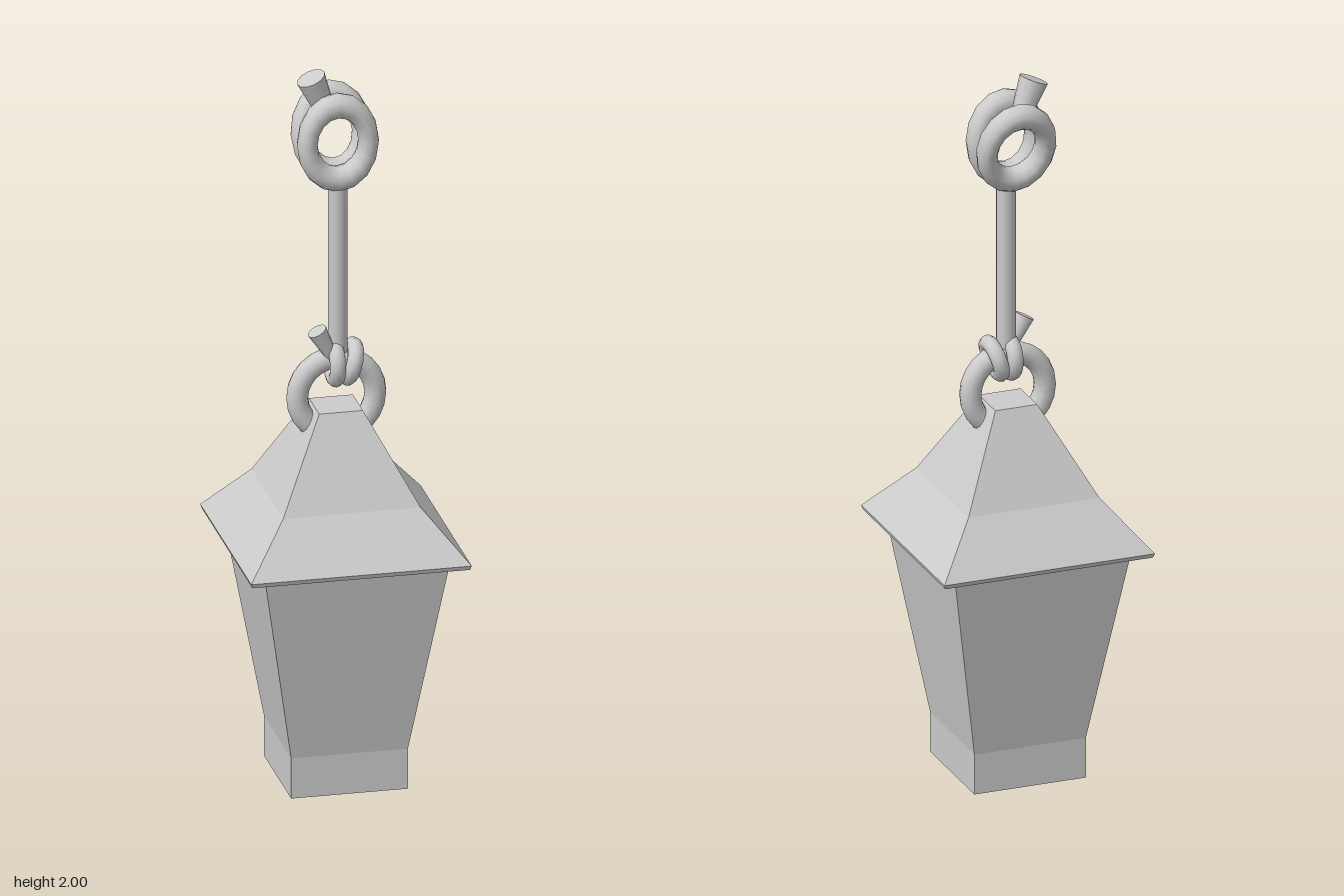
import * as THREE from 'three';

const smooth = new THREE.MeshStandardMaterial({ color: 0xcccccc });
const flat = new THREE.MeshStandardMaterial({ color: 0xcccccc, flatShading: true });

export function createModel() {
  const group = new THREE.Group();
  group.name = 'hangingLantern';

  const add = (name, geometry, material, x = 0, y = 0, z = 0) => {
    const mesh = new THREE.Mesh(geometry, material);
    mesh.name = name;
    mesh.position.set(x, y, z);
    group.add(mesh);
    return mesh;
  };

  // Square solid from [half width, height] pairs, bottom to top
  const squareLoft = (profile) => new THREE.LatheGeometry(
    profile.map(([half, y]) => new THREE.Vector2(half * Math.SQRT2, y)), 4, Math.PI / 4);

  // Tapered stub between two points, wider at its tip
  const stub = (name, base, tip, baseRadius, tipRadius) => {
    const a = new THREE.Vector3(...base), b = new THREE.Vector3(...tip);
    const dir = b.clone().sub(a);
    const mesh = add(name, new THREE.CylinderGeometry(tipRadius, baseRadius, dir.length(), 12), smooth);
    mesh.position.copy(a).add(b).multiplyScalar(0.5);
    mesh.quaternion.setFromUnitVectors(new THREE.Vector3(0, 1, 0), dir.normalize());
  };

  // Lantern body and flared roof
  add('lanternBody', squareLoft([[0, 0], [0.16, 0], [0.16, 0.115], [0.253, 0.67], [0, 0.67]]), flat);
  add('roof', squareLoft([[0, 0.668], [0.298, 0.668], [0.302, 0.68], [0.188, 0.815], [0.06, 1.055], [0, 1.055]]), flat);

  // Carrying ring set into the roof peak
  add('roofRing', new THREE.TorusGeometry(0.107, 0.03, 12, 24), smooth, 0, 1.085, 0.003);

  // Hanging rod
  add('rod', new THREE.CylinderGeometry(0.027, 0.027, 0.5, 12), smooth, 0.004, 1.45, 0.004);

  // Upper pair of oval loops, the rear one leaning back
  const upper = new THREE.TorusGeometry(0.105, 0.035, 12, 16);
  upper.scale(0.8, 1, 1);
  add('upperLoopFront', upper, smooth, 0.003, 1.81, 0.009);
  add('upperLoopBack', upper, smooth, 0.004, 1.81, -0.07).rotation.x = -0.28;
  stub('upperStub', [-0.012, 1.865, -0.04], [-0.062, 1.984, -0.03], 0.024, 0.04);

  // Lower pair of loops wrapped around the carrying ring
  const lower = new THREE.TorusGeometry(0.045, 0.022, 12, 16);
  lower.rotateY(Math.PI / 2);
  add('lowerLoopLeft', lower, smooth, -0.006, 1.178, 0.006);
  add('lowerLoopRight', lower, smooth, 0.037, 1.178, 0.006).rotation.z = -0.28;
  stub('lowerStub', [-0.018, 1.205, 0.02], [-0.058, 1.28, 0.026], 0.016, 0.027);

  return group;
}
